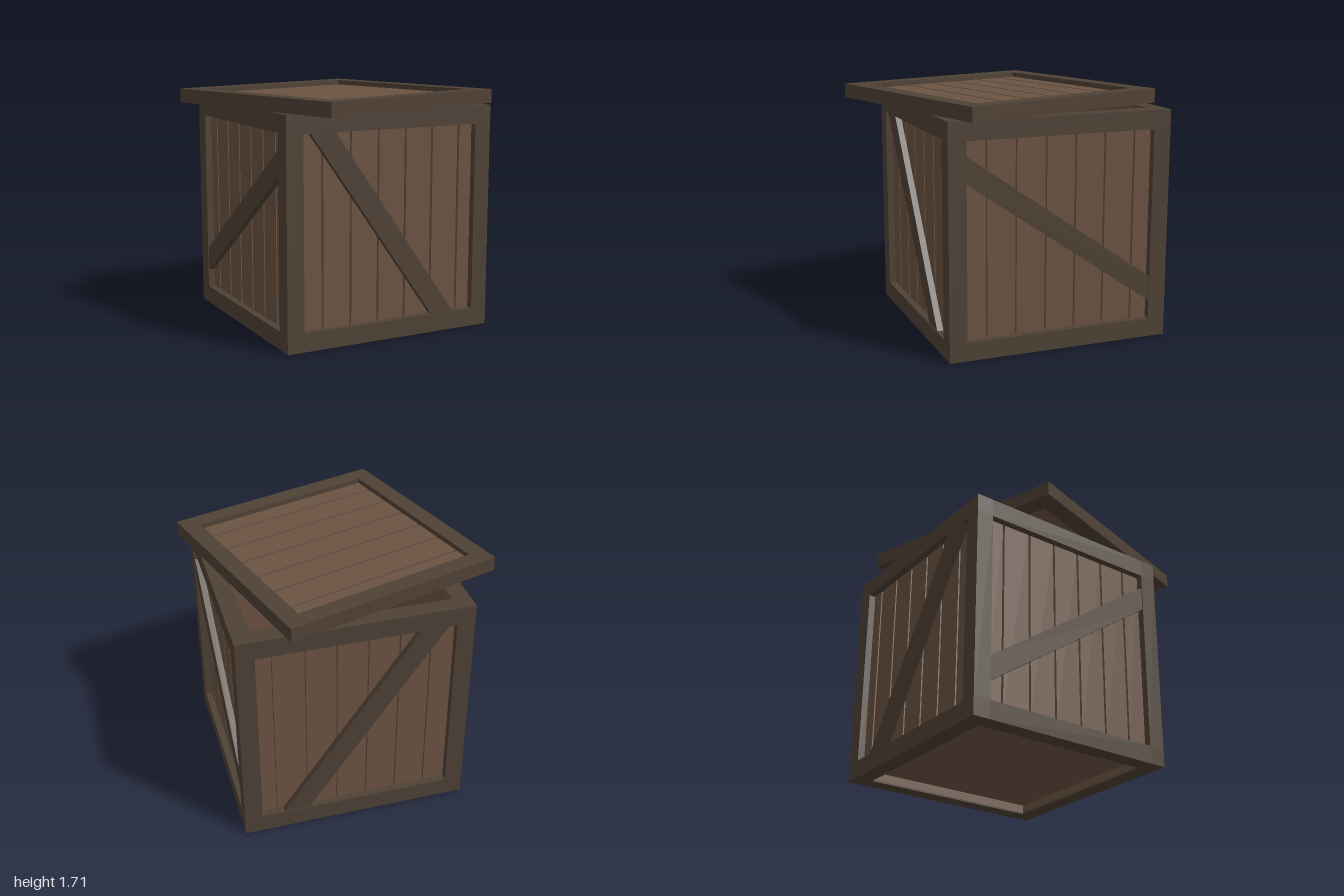
import * as THREE from 'three';

const SIZE = 1.6, HEIGHT = 1.61, BAR = 0.125, HALF = SIZE / 2;
const INNER = SIZE - 2 * BAR;

const frameMat = new THREE.MeshStandardMaterial({ color: 0x4f4135 });
const plankMat = new THREE.MeshStandardMaterial({ color: 0x6b5342 });

function box(parent, name, mat, w, h, d, x, y, z) {
  const mesh = new THREE.Mesh(new THREE.BoxGeometry(w, h, d), mat);
  mesh.name = name;
  mesh.position.set(x, y, z);
  parent.add(mesh);
}

// Split a width into plank [centre, width] pairs, leaving narrow gaps
function planks(gaps, half, gapWidth = 0.016) {
  const edges = [-half - gapWidth / 2, ...gaps, half + gapWidth / 2];
  return edges.slice(1).map((e, i) => [(e + edges[i]) / 2, e - edges[i] - gapWidth]);
}

// Four bars forming a horizontal square
function squareFrame(parent, name, height, y) {
  const c = HALF - BAR / 2;
  for (const s of [-1, 1]) {
    box(parent, name, frameMat, SIZE, height, BAR, 0, y, s * c);
    box(parent, name, frameMat, BAR, height, INNER, s * c, y, 0);
  }
}

// Two opposite walls: recessed planks, lining and diagonal brace
function wallPair(gaps, bracePoints) {
  const group = new THREE.Group();
  group.name = 'wallPair';
  const shape = new THREE.Shape(bracePoints.map(p => new THREE.Vector2(...p)));
  const braceGeo = new THREE.ExtrudeGeometry(shape, { depth: 0.045, bevelEnabled: false });
  braceGeo.translate(0, 0, -0.0225);
  for (const s of [-1, 1]) {
    box(group, 'wallLining', plankMat, INNER + 0.002, HEIGHT - 0.02, 0.052,
      0, HEIGHT / 2, s * (HALF - 0.101));
    for (const [x, w] of planks(gaps, INNER / 2)) {
      box(group, 'wallPlank', plankMat, w, INNER + 0.02, 0.03, x, HEIGHT / 2, s * (HALF - 0.065));
    }
    const brace = new THREE.Mesh(braceGeo, frameMat);
    brace.name = 'diagonalBrace';
    brace.position.z = s * (HALF - 0.0285);
    group.add(brace);
  }
  return group;
}

function createCrate() {
  const crate = new THREE.Group();
  crate.name = 'crate';

  // Outer frame: top and bottom rails with corner posts
  squareFrame(crate, 'bottomRail', 0.13, 0.065);
  squareFrame(crate, 'topRail', 0.13, HEIGHT - 0.065);
  const c = HALF - BAR / 2;
  for (const x of [-c, c]) for (const z of [-c, c]) {
    box(crate, 'cornerPost', frameMat, BAR, HEIGHT - 0.26, BAR, x, HEIGHT / 2, z);
  }

  // Front and back walls, then the two side walls
  crate.add(wallPair([-0.515, -0.3, -0.085, 0.13, 0.345, 0.565],
    [[-0.62, 1.48], [0.335, 0.13], [0.515, 0.13], [-0.435, 1.48]]));
  const sides = wallPair([-0.525, -0.315, -0.1, 0.115, 0.33, 0.55],
    [[-0.675, 1.2], [0.675, 0.265], [0.675, 0.44], [-0.675, 1.38]]);
  sides.rotation.y = Math.PI / 2;
  crate.add(sides);

  // Raised floor
  box(crate, 'floor', plankMat, INNER, 0.05, INNER, 0, 0.095, 0);
  return crate;
}

function createLid() {
  const lid = new THREE.Group();
  lid.name = 'lid';
  squareFrame(lid, 'lidRail', 0.1, 0.05);
  box(lid, 'lidBacking', plankMat, INNER, 0.02, INNER, 0, 0.035, 0);
  for (const [z, d] of planks([-0.54, -0.325, -0.11, 0.105, 0.32, 0.535], INNER / 2)) {
    box(lid, 'lidPlank', plankMat, INNER, 0.02, d, 0, 0.055, z);
  }
  return lid;
}

export function createModel() {
  const model = new THREE.Group();
  model.name = 'woodenCrate';

  const crate = createCrate();
  crate.position.set(0.09, 0, -0.125);
  model.add(crate);

  // Lid lies askew on top
  const lid = createLid();
  lid.position.y = HEIGHT;
  lid.rotation.y = 0.284;
  model.add(lid);
  return model;
}
